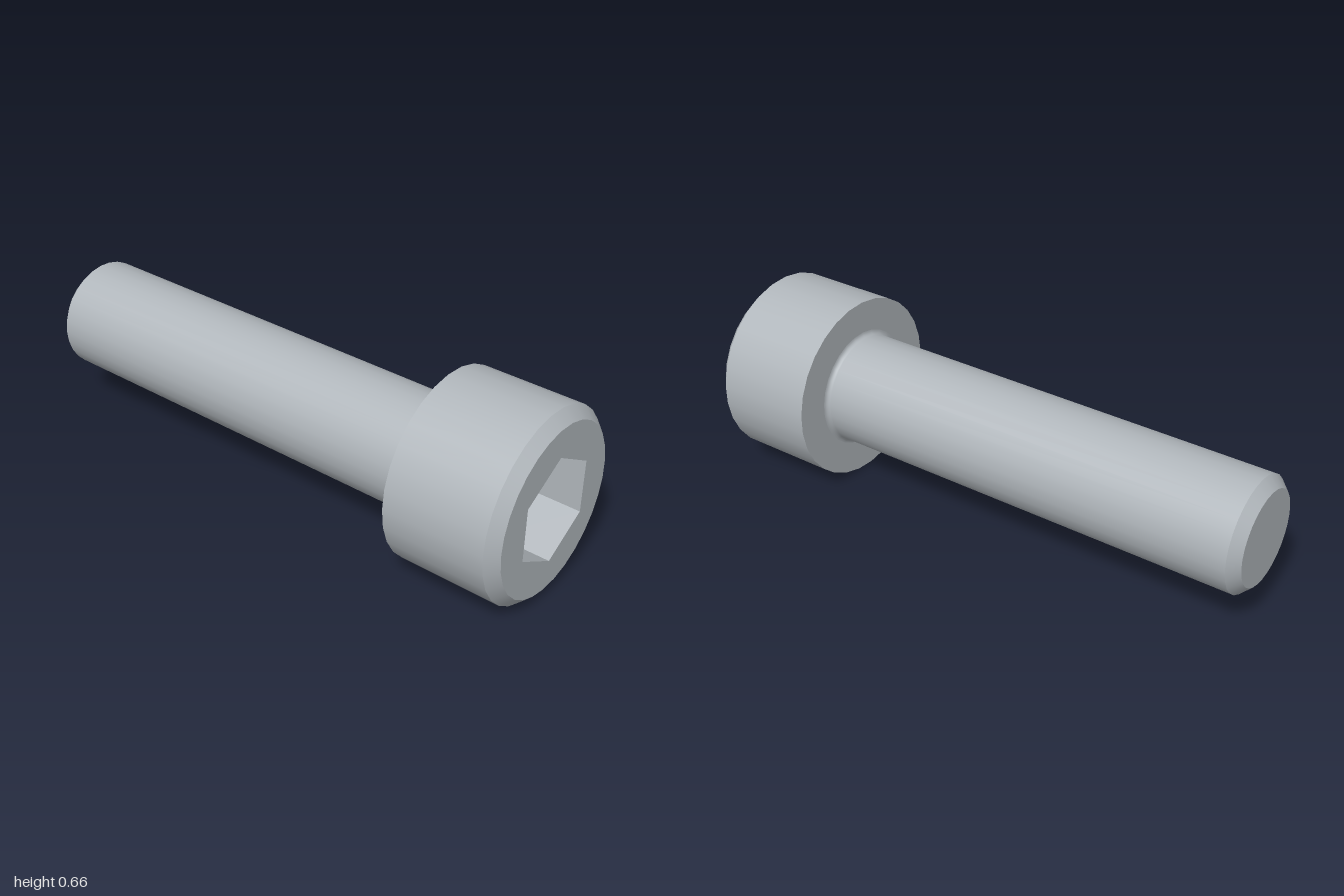
import * as THREE from 'three';

const SIDES = 29;
const HEAD_R = 0.331, FACE_R = 0.2935, SHANK_R = 0.1987, TIP_R = 0.163;
const HEX_R = 0.191, DRILL_R = 0.165, FILLET = 0.016;
const UNDER_Z = 0.6, SOCKET_Z = 0.8;

export function createModel() {
  const steel = new THREE.MeshStandardMaterial({ color: 0xb0b6bb });
  steel.name = 'steel grey';
  const model = new THREE.Group();
  model.name = 'socketHeadScrew';

  const add = (name, geometry) => {
    const mesh = new THREE.Mesh(geometry, steel);
    mesh.name = name;
    model.add(mesh);
  };

  // Surface of revolution about z; profile entries are [radius, z]
  const turned = (name, profile) => {
    const points = profile.map(([r, z]) => new THREE.Vector2(r, z));
    add(name, new THREE.LatheGeometry(points, SIDES, -Math.PI / 2).rotateX(Math.PI / 2));
  };

  const ring = (radius, count, start) => Array.from({ length: count }, (_, i) => {
    const a = start + (i / count) * Math.PI * 2;
    return new THREE.Vector2(Math.cos(a) * radius, Math.sin(a) * radius);
  });

  // Flat plate facing +z with a polygonal hole
  const plate = (name, outer, hole, z) => {
    const shape = new THREE.Shape(outer);
    shape.holes.push(new THREE.Path(hole));
    add(name, new THREE.ShapeGeometry(shape).translate(0, 0, z));
  };

  // Shank, from the chamfered tip up to the fillet below the head
  turned('tipFace', [[0, -1], [TIP_R, -1]]);
  turned('tipChamfer', [[TIP_R, -1], [SHANK_R, -0.964]]);
  turned('shank', [[SHANK_R, -0.964], [SHANK_R, UNDER_Z - FILLET]]);
  const fillet = [];
  for (let i = 0; i <= 5; i++) {
    const a = (i / 5) * Math.PI / 2;
    fillet.push([
      SHANK_R + FILLET * (1 - Math.cos(a)),
      UNDER_Z - FILLET * (1 - Math.sin(a)),
    ]);
  }
  turned('neckFillet', fillet);

  // Head
  turned('headUnderside', [[SHANK_R + FILLET, UNDER_Z], [HEAD_R, UNDER_Z]]);
  turned('headSide', [[HEAD_R, UNDER_Z], [HEAD_R, 0.9625]]);
  turned('headChamfer', [[HEAD_R, 0.9625], [FACE_R, 1]]);
  const hexagon = ring(HEX_R, 6, Math.PI / 2);
  plate('headFace', ring(FACE_R, SIDES, Math.PI), hexagon, 1);

  // Hexagonal socket with a conical drill point
  const walls = new THREE.LatheGeometry(
    [new THREE.Vector2(HEX_R, 1), new THREE.Vector2(HEX_R, SOCKET_Z)], 6,
  ).rotateX(Math.PI / 2).toNonIndexed();
  walls.computeVertexNormals();
  add('socketWalls', walls);
  plate('socketFloor', hexagon, ring(DRILL_R, SIDES, Math.PI), SOCKET_Z);
  turned('drillPoint', [[DRILL_R, SOCKET_Z], [0, SOCKET_Z - 0.095]]);

  // Rest the head on the ground
  model.position.y = 0.3315;
  return model;
}
